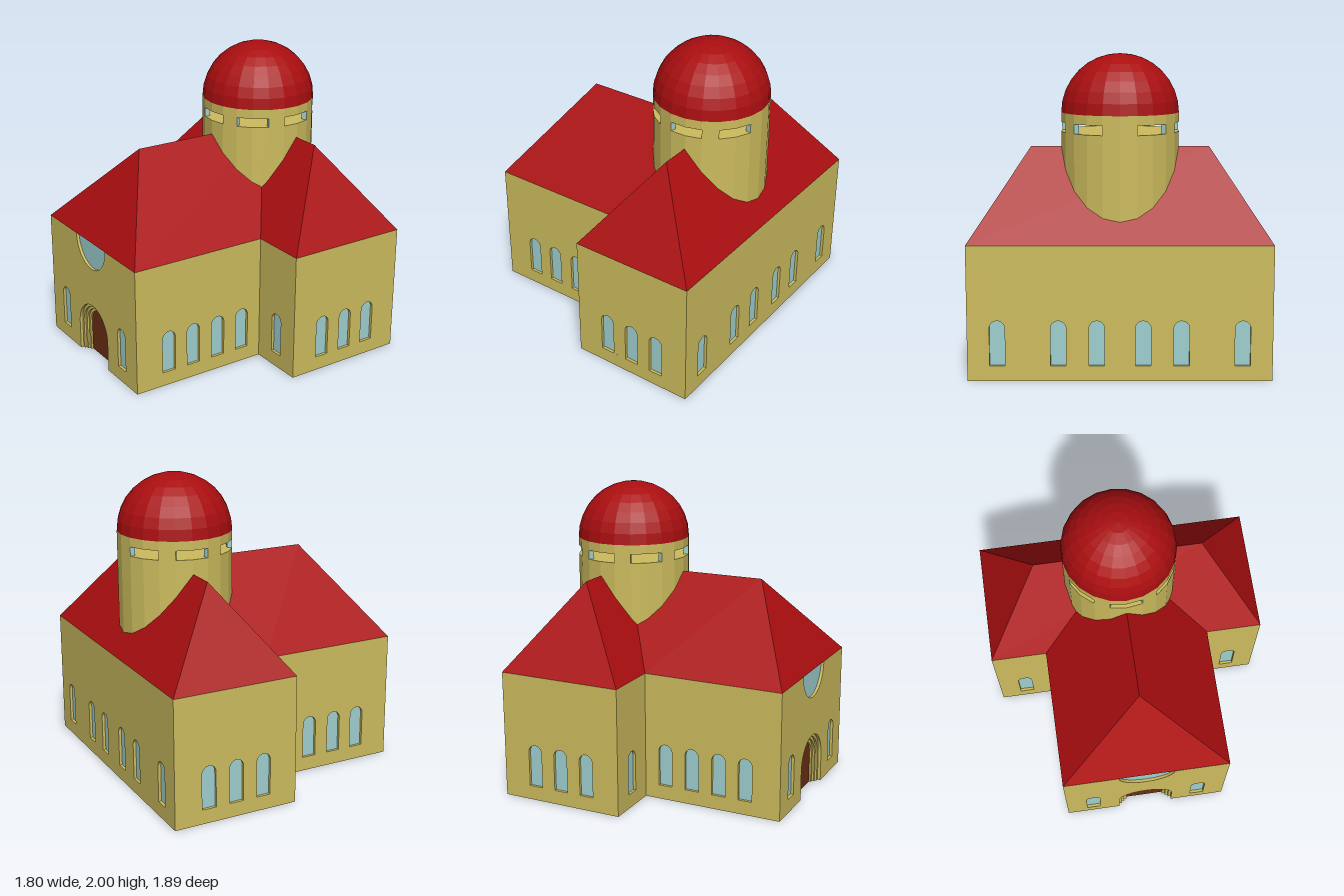
import * as THREE from 'three';

const H = 0.85, RIDGE = 1.415;          // eave and ridge heights
const XW = -0.9, XT = 0.05, XE = 0.895; // west front, transept west side, east end
const XR = (XT + XE) / 2;               // transept ridge
const ZN = 0.565, ZT = 0.943;           // half widths of nave and transept
const T = 0.02, STEP = 0.014;           // wall panel thickness, portal step depth
const DOOR = [0.19, 0.17, 0.15, 0.13];  // half widths of the stepped portal

const mat = (name, color) => {
  const m = new THREE.MeshStandardMaterial({ color, flatShading: true });
  m.name = name;
  return m;
};

// Round-headed outline standing on y0
function arch(path, u, y0, halfW, top) {
  path.moveTo(u - halfW, y0);
  path.lineTo(u + halfW, y0);
  path.lineTo(u + halfW, top - halfW);
  path.absarc(u, top - halfW, halfW, 0, Math.PI, false);
  path.lineTo(u - halfW, y0);
  return path;
}
const archTop = (w) => 0.2 + w;

// Wall panel outline, optionally notched for a portal below and a half-round window above
function panelShape(halfW, height, doorW, roseR) {
  const s = new THREE.Shape();
  s.moveTo(-halfW, 0);
  if (doorW) {
    s.lineTo(-doorW, 0);
    s.lineTo(-doorW, archTop(doorW) - doorW);
    s.absarc(0, archTop(doorW) - doorW, doorW, Math.PI, 0, true);
    s.lineTo(doorW, 0);
  }
  s.lineTo(halfW, 0);
  s.lineTo(halfW, height);
  if (roseR) {
    s.lineTo(roseR, height);
    s.absarc(0, height, roseR, 0, -Math.PI, true);
  }
  s.lineTo(-halfW, height);
  s.closePath();
  return s;
}

// Triangles from polygons given as corner lists
function faces(polys) {
  const pos = [];
  for (const p of polys)
    for (let i = 1; i < p.length - 1; i++) pos.push(...p[0], ...p[i], ...p[i + 1]);
  const g = new THREE.BufferGeometry();
  g.setAttribute('position', new THREE.Float32BufferAttribute(pos, 3));
  g.computeVertexNormals();
  return g;
}

export function createModel() {
  const model = new THREE.Group();
  model.name = 'church';
  const stone = mat('yellow stone', 0xcdbc5e);
  const tiles = mat('red tiles', 0xaa0e10);
  const glass = mat('pale blue glass', 0x9fd0d0);
  const wood = mat('brown wood', 0x6a3014);

  const add = (parent, name, geo, material, x = 0, y = 0, z = 0) => {
    const m = new THREE.Mesh(geo, material);
    m.name = name;
    m.position.set(x, y, z);
    parent.add(m);
    return m;
  };
  const extrude = (shape, depth) =>
    new THREE.ExtrudeGeometry(shape, { depth, bevelEnabled: false, curveSegments: 12 });

  // Wall with recessed arched windows; local +z faces outward
  function wall(name, x, z, turn, width, windows, doorW, roseR) {
    const g = new THREE.Group();
    g.name = name;
    g.position.set(x, 0, z);
    g.rotation.y = turn;
    const shape = panelShape(width / 2, H, doorW, roseR);
    for (const u of windows) {
      shape.holes.push(arch(new THREE.Path(), u, 0.095, 0.048, 0.38));
      const pane = arch(new THREE.Shape(), u, 0.095, 0.048, 0.38);
      add(g, 'windowPane', new THREE.ShapeGeometry(pane), glass, 0, 0, -T + 0.001);
    }
    add(g, 'wallPanel', extrude(shape, T), stone, 0, 0, -T);
    model.add(g);
    return g;
  }

  const naveMid = (XW + XT) / 2, naveLen = XT - XW;
  const naveWin = [-0.66, -0.475, -0.285, -0.095].map((x) => x - naveMid);
  const endWin = [-0.19, 0, 0.19];
  const eastWin = [-0.757, -0.38, -0.143, 0.143, 0.38, 0.757];
  wall('naveFrontWall', naveMid, ZN, 0, naveLen, naveWin);
  wall('naveBackWall', naveMid, -ZN, Math.PI, naveLen, naveWin.map((u) => -u));
  wall('transeptFrontWall', XR, ZT, 0, XE - XT, endWin);
  wall('transeptBackWall', XR, -ZT, Math.PI, XE - XT, endWin);
  wall('eastWall', XE, 0, Math.PI / 2, 2 * ZT, eastWin);
  for (const s of [-1, 1])
    wall('transeptWestWall', XT, s * (ZN + ZT) / 2, -Math.PI / 2, ZT - ZN, [0]);

  // West front with stepped portal and half-round window
  const west = wall('westWall', XW, 0, -Math.PI / 2, 2 * ZN, [-0.375, 0.375], DOOR[0], 0.19);
  for (let i = 1; i < 3; i++)
    add(west, 'portalStep', extrude(panelShape(0.22, 0.42, DOOR[i]), STEP), stone, 0, 0, -T - i * STEP);
  const doorZ = -T - 3 * STEP;
  add(west, 'portalFrame', extrude(panelShape(0.22, 0.42, DOOR[3]), STEP), stone, 0, 0, doorZ);
  add(west, 'door', new THREE.ShapeGeometry(arch(new THREE.Shape(), 0, 0, DOOR[3], archTop(DOOR[3]))),
    wood, 0, 0, doorZ + 0.001);
  const rose = new THREE.Shape();
  rose.absarc(0, H, 0.19, Math.PI, 2 * Math.PI, false);
  add(west, 'halfRoundWindow', new THREE.ShapeGeometry(rose), glass, 0, 0, -T + 0.001);

  // Floor following the footprint and the portal steps
  const half = [[XW, DOOR[0]], [XW, ZN], [XT, ZN], [XT, ZT], [XE, ZT]];
  const depth = (i) => XW + T + i * STEP;
  const notch = [[depth(3), DOOR[3]], [depth(2), DOOR[3]], [depth(2), DOOR[2]], [depth(1), DOOR[2]],
    [depth(1), DOOR[1]], [depth(0), DOOR[1]], [depth(0), DOOR[0]]];
  const side = [...notch, ...half];
  const outline = [...side, ...side.map(([x, z]) => [x, -z]).reverse()];
  const floor = new THREE.ShapeGeometry(new THREE.Shape(outline.map(([x, z]) => new THREE.Vector2(x, z))));
  add(model, 'floor', floor.rotateX(Math.PI / 2), stone);

  // Hipped roofs; the nave meets the transept in two valleys
  const a = [XW, H, ZN], b = [XW, H, -ZN], c = [XT, H, ZN], d = [XT, H, -ZN];
  const r0 = [-0.52, RIDGE, 0], r1 = [XR, RIDGE, 0];
  add(model, 'naveRoof', faces([[a, c, r1, r0], [d, b, r0, r1], [b, a, r0], [a, b, d, c]]), tiles);
  const e = [XT, H, ZT], f = [XE, H, ZT], g = [XE, H, -ZT], h = [XT, H, -ZT];
  const t0 = [XR, RIDGE, ZN], t1 = [XR, RIDGE, -ZN];
  add(model, 'transeptRoof',
    faces([[e, f, t0], [f, g, t1, t0], [g, h, t1], [h, e, t0, t1], [e, h, g, f]]), tiles);

  // Round tower: 22 sides, an open gallery between two solid drums
  const tower = new THREE.Group();
  tower.name = 'tower';
  tower.position.x = 0.423;
  model.add(tower);
  const N = 22, R = 0.376, SEG = (2 * Math.PI) / N;
  const drum = (name, y0, y1) =>
    add(tower, name, new THREE.CylinderGeometry(R, R, y1 - y0, N, 1, false, -Math.PI / 2), stone, 0, (y0 + y1) / 2, 0);
  drum('lowerDrum', 0.86, 1.51);
  drum('upperDrum', 1.57, 1.63);
  const pierGeo = new THREE.BoxGeometry(2 * R * Math.sin(SEG / 2), 0.06, 0.035);
  for (const k of [1, 4, 7, 10, 11, 14, 17, 20]) {
    const t = -Math.PI / 2 + (k + 0.5) * SEG;
    const r = R * Math.cos(SEG / 2) - 0.0175;
    const pier = add(tower, 'galleryPier', pierGeo, [glass, glass, glass, glass, stone, glass],
      r * Math.sin(t), 1.54, r * Math.cos(t));
    pier.rotation.y = t;
  }
  const dome = add(tower, 'dome',
    new THREE.SphereGeometry(R, N, 8, 0, 2 * Math.PI, 0, Math.PI / 2), tiles, 0, 1.63, 0);
  dome.scale.y = 0.37 / R;

  return model;
}
